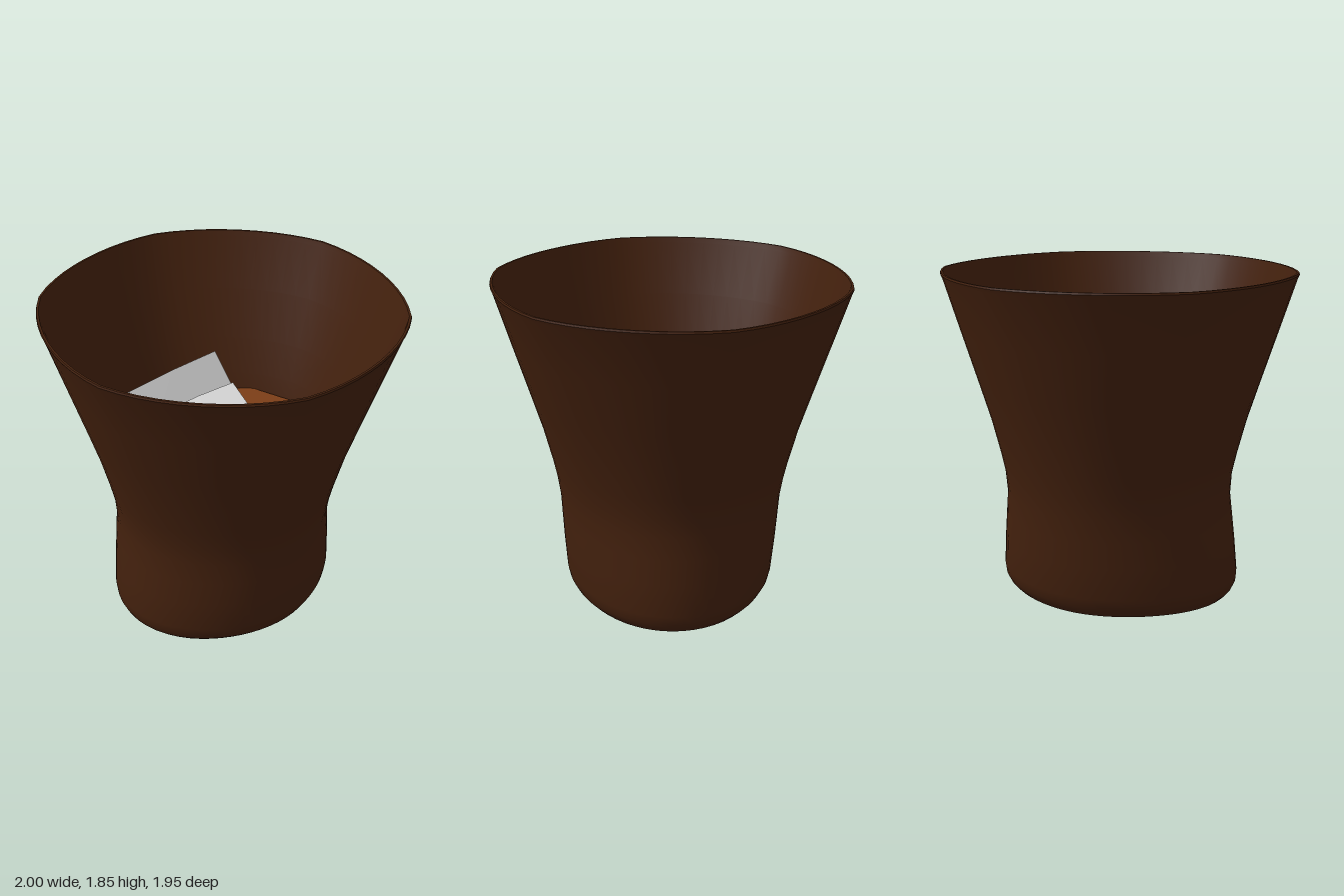
import * as THREE from 'three';
import { mergeVertices, toCreasedNormals } from 'three/addons/utils/BufferGeometryUtils.js';

const clamp = THREE.MathUtils.clamp;

// Call rule(v) on every vertex so it can be moved
function reshape(geometry, rule) {
  const pos = geometry.attributes.position;
  const v = new THREE.Vector3();
  for (let i = 0; i < pos.count; i++) {
    rule(v.fromBufferAttribute(pos, i));
    pos.setXYZ(i, v.x, v.y, v.z);
  }
  return geometry;
}

// Tumbler wall: foot drawn out along one diagonal, narrow waist, softly six-sided flared rim
function makeGlass() {
  const outer = [
    [0.57, 0.003], [0.595, 0.03], [0.615, 0.07], [0.623, 0.12], [0.623, 0.3], [0.62, 0.45], [0.617, 0.58],
    [0.632, 0.7], [0.66, 0.82], [0.715, 1.02], [0.785, 1.23], [0.885, 1.52], [0.99, 1.82], [1, 1.84], [0.997, 1.85],
  ];
  const inner = [
    [0.985, 1.85], [0.975, 1.82], [0.865, 1.52], [0.765, 1.23], [0.697, 1.02], [0.642, 0.82],
    [0.602, 0.58], [0.605, 0.3], [0.59, 0.12],
  ];
  const profile = [[0, 0], [0.3, 0], ...outer, ...inner, [0, 0.1]].map(p => new THREE.Vector2(...p));
  let geometry = new THREE.LatheGeometry(profile, 60);
  reshape(geometry, v => {
    const angle = Math.atan2(v.z, v.x);
    const diagonal = -Math.sin(2 * angle);
    const foot = clamp(1 - v.y / 0.65, 0, 1);
    const rim = clamp((v.y - 0.6) / 1.25, 0, 1);
    const f = 1 + (1 - rim) * 0.03 * diagonal ** 2 + foot * 0.085 * diagonal
      - 0.025 * rim * Math.abs(Math.sin(3 * angle));
    v.x *= f;
    v.z = v.z * f * (1 + 0.025 * (1 - rim)) + 0.012 * foot;
  });
  geometry.deleteAttribute('uv');
  geometry.deleteAttribute('normal');
  geometry = toCreasedNormals(mergeVertices(geometry, 1e-4), 0.7);
  return new THREE.Mesh(geometry, new THREE.MeshStandardMaterial({ color: 0x42200d, side: THREE.DoubleSide }));
}

// Twelve-sided body of drink
function makeDrink() {
  const profile = [[0, 0.2], [0.54, 0.2], [0.59, 0.6], [0.63, 0.8], [0.682, 0.93], [0, 0.93]]
    .map(p => new THREE.Vector2(...p));
  const geometry = toCreasedNormals(new THREE.LatheGeometry(profile, 12), 0.6);
  geometry.rotateY(THREE.MathUtils.degToRad(-10));
  return new THREE.Mesh(geometry, new THREE.MeshStandardMaterial({ color: 0x7c3e17 }));
}

// Lopsided ice cube spanned by three edges (a right-handed set) from its top corner
function makeIce(corner, a, b, c) {
  const [o, ea, eb, ec] = [corner, a, b, c].map(p => new THREE.Vector3(...p));
  let geometry = new THREE.BoxGeometry(1, 1, 1, 2, 2, 2);
  reshape(geometry, v => {
    // Worn edges and slightly swollen faces
    const outside = [v.x, v.y, v.z].filter(t => Math.abs(t) > 0.4).length;
    v.multiplyScalar([1, 1.04, 1.02, 1][outside]);
    const [s, t, u] = [v.x + 0.5, v.y + 0.5, v.z + 0.5];
    v.copy(o).addScaledVector(ea, s).addScaledVector(eb, t).addScaledVector(ec, u);
    // Keep the ice inside the wall
    const pull = Math.min(1, (0.69 + 0.35 * (v.y - 0.93)) / Math.hypot(v.x, v.z));
    v.x *= pull;
    v.z *= pull;
  });
  geometry = geometry.toNonIndexed();
  geometry.computeVertexNormals();
  return new THREE.Mesh(geometry, new THREE.MeshStandardMaterial({ color: 0xcccccc, flatShading: true }));
}

export function createModel() {
  const model = new THREE.Group();
  model.name = 'tumblerWithIce';
  const parts = {
    glass: makeGlass(),
    drink: makeDrink(),
    backIceCube: makeIce([-0.06, 1.48, -0.16],
      [-0.46, -0.17, 0.21], [-0.18, -0.35, -0.39], [0.27, -0.53, 0.13]),
    frontIceCube: makeIce([0.07, 1.46, 0.13],
      [0.25, -0.12, 0.38], [-0.35, -0.1, 0.18], [0.1, -0.5, -0.13]),
  };
  for (const [name, mesh] of Object.entries(parts)) {
    mesh.name = name;
    model.add(mesh);
  }
  return model;
}
